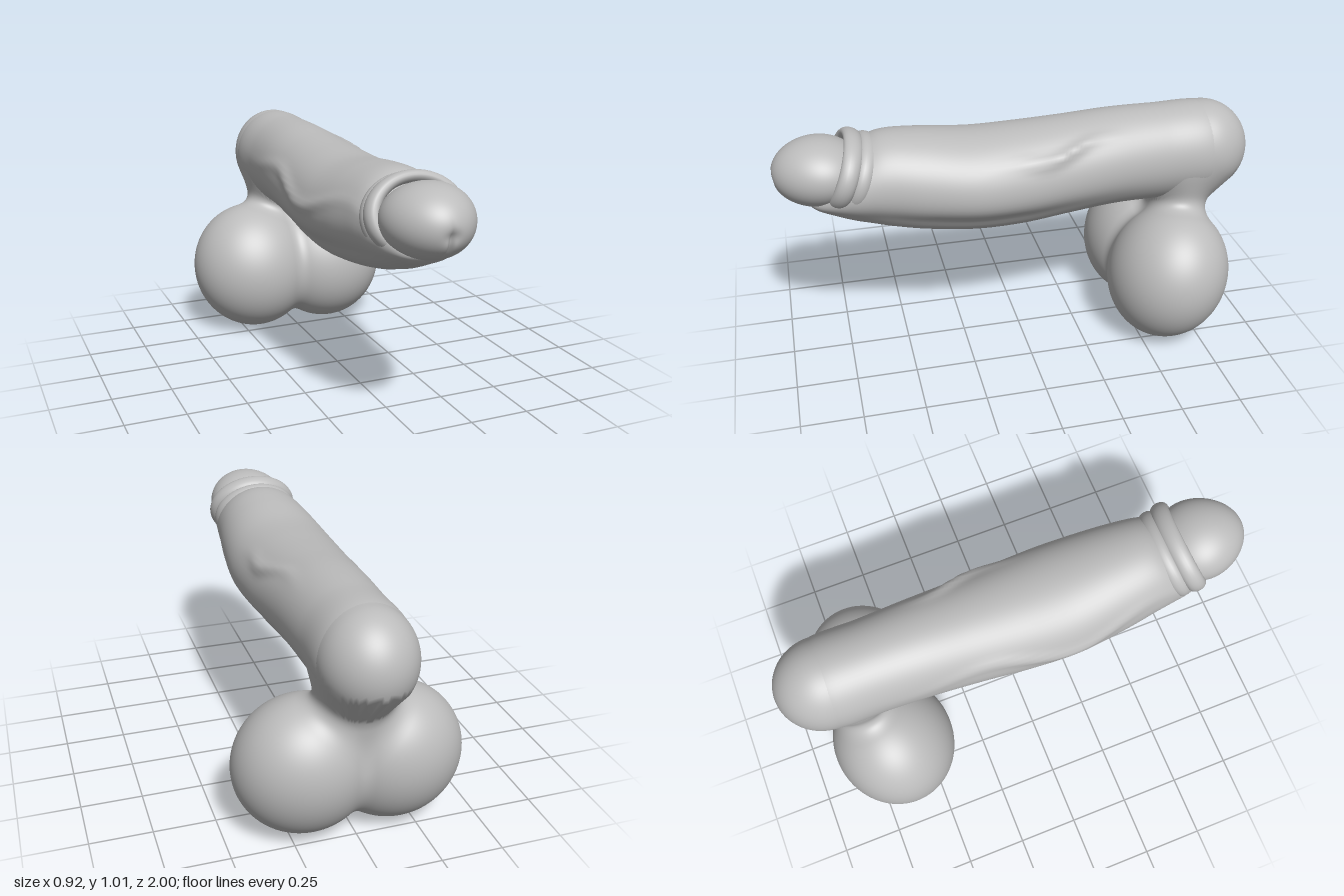
import * as THREE from 'three';
import { mergeVertices } from 'three/addons/utils/BufferGeometryUtils.js';

const grey = new THREE.MeshStandardMaterial({ color: 0xbcbcbc });
grey.name = 'light grey';

const gauss = (d, w) => Math.exp(-((d / w) ** 2));

// Moves every vertex by a rule and gives the result seamless smooth normals
function sculpt(geometry, rule) {
  geometry.deleteAttribute('uv');
  geometry.deleteAttribute('normal');
  const g = mergeVertices(geometry, 1e-5);
  const p = g.attributes.position;
  const v = new THREE.Vector3();
  for (let i = 0; i < p.count; i++) {
    rule(v.fromBufferAttribute(p, i));
    p.setXYZ(i, v.x, v.y, v.z);
  }
  g.computeVertexNormals();
  return g;
}

function add(group, name, geometry) {
  const mesh = new THREE.Mesh(geometry, grey);
  mesh.name = name;
  group.add(mesh);
  return mesh;
}

// Shaft sections: z, top, bottom, half width (the rear end is hidden in the base)
const SECTIONS = [
  [-0.92, 0.93, 0.66, 0.12], [-0.8, 0.997, 0.592, 0.185], [-0.6, 1.0, 0.588, 0.19],
  [-0.4, 0.998, 0.588, 0.2], [-0.2, 0.985, 0.57, 0.213], [0, 0.975, 0.55, 0.23],
  [0.2, 0.972, 0.55, 0.238], [0.4, 0.993, 0.572, 0.222], [0.54, 1.0, 0.6, 0.203],
  [0.62, 0.98, 0.624, 0.192], [0.7, 0.935, 0.65, 0.178], [0.78, 0.86, 0.685, 0.15],
  [0.84, 0.8, 0.712, 0.105], [0.88, 0.76, 0.74, 0.03],
];

// Raised veins as angle around the shaft against z
function veinHeight(theta, z) {
  const left = 0.68 - 0.5 * (z + 0.15) + 0.08 * Math.sin(z * 16);
  const right = Math.PI - 0.27 + 0.14 * Math.sin(z * 9);
  return 0.018 * gauss(theta - left, 0.12) * gauss(z + 0.15, 0.17)
    + 0.015 * gauss(theta - right, 0.12) * gauss(z - 0.08, 0.4);
}

function shaftGeometry() {
  const spline = (f) => new THREE.CatmullRomCurve3(SECTIONS.map(f), false, 'catmullrom', 0.5);
  const size = spline((s) => new THREE.Vector3(s[3], s[1], s[2]));
  const along = spline((s) => new THREE.Vector3(0, 0, s[0]));
  const rows = 160, sides = 72, pos = [], index = [];
  for (let i = 0; i <= rows; i++) {
    const { x: w, y: top, z: bottom } = size.getPoint(i / rows);
    const z = along.getPoint(i / rows).z;
    const cy = (top + bottom) / 2, h = (top - bottom) / 2;
    const body = gauss(z - 0.2, 0.5);
    for (let j = 0; j < sides; j++) {
      const t = (j / sides) * Math.PI * 2;
      // Shallow grooves either side of the ridge underneath
      const fromBottom = Math.abs(t - Math.PI * 1.5);
      const k = 1 - 0.08 * body * gauss(fromBottom - 0.95, 0.27);
      const v = veinHeight(t, z);
      pos.push(Math.cos(t) * (w * k + v), cy + Math.sin(t) * (h * k + v), z);
      if (i < rows) {
        const n = (j + 1) % sides;
        const a = i * sides + j, b = i * sides + n;
        index.push(a, b, a + sides, b, b + sides, a + sides);
      }
    }
  }
  const g = new THREE.BufferGeometry();
  g.setAttribute('position', new THREE.Float32BufferAttribute(pos, 3));
  g.setIndex(index);
  g.computeVertexNormals();
  return g;
}

// Smoothly joined ellipsoids for the two lobes, the neck and the rear bend
const ellipsoid = (x, y, z, r) =>
  (Math.hypot(x / r[0], y / r[1], z / r[2]) - 1) * Math.min(...r);
function smoothMin(a, b, k) {
  const h = Math.max(k - Math.abs(a - b), 0) / k;
  return Math.min(a, b) - h * h * k / 4;
}
function baseField({ x, y, z }) {
  const lean = 0.08 * (y - 0.292);
  const lobe = (s) => ellipsoid(x - s * 0.178, y - 0.292, z + 0.627 + lean, [0.282, 0.29, 0.256]);
  const lobes = smoothMin(lobe(1), lobe(-1), 0.04);
  const neck = ellipsoid(x, y - 0.6, z + 0.71, [0.158, 0.25, 0.13]);
  const stretch = THREE.MathUtils.clamp(z, -0.8, -0.68);
  const bend = ellipsoid(x, y - 0.795, z - stretch, [0.186, 0.205, 0.2]);
  return smoothMin(lobes, smoothMin(neck, bend, 0.07), 0.06);
}

function baseGeometry() {
  const centre = new THREE.Vector3(0, 0.38, -0.66);
  const p = new THREE.Vector3();
  return sculpt(new THREE.IcosahedronGeometry(1, 48), (v) => {
    const dir = v.clone().normalize();
    const at = (d) => baseField(p.copy(centre).addScaledVector(dir, d));
    let far = 0.02;
    while (at(far) < 0 && far < 1) far += 0.02;
    let near = far - 0.02;
    for (let i = 0; i < 12; i++) {
      const mid = (near + far) / 2;
      if (at(mid) < 0) near = mid; else far = mid;
    }
    v.copy(centre).addScaledVector(dir, far);
  });
}

// Rounded tip, wider to the rear, with a small dimple and a cleft underneath
function tipGeometry() {
  return sculpt(new THREE.SphereGeometry(1, 96, 64).rotateX(Math.PI / 2), (v) => {
    const front = v.z > 0 ? 1 : 0;
    v.set(v.x * (0.172 - 0.02 * v.z), 0.864 + v.y * 0.137, 0.82 + v.z * 0.18);
    const dimple = gauss(v.x, 0.03) * gauss(v.y - 0.845, 0.025);
    const cleft = gauss(v.x, 0.01) * gauss(v.y - 0.805, 0.05);
    v.z -= front * (0.012 * dimple + 0.016 * cleft);
  });
}

export function createModel() {
  const model = new THREE.Group();
  model.name = 'model';
  add(model, 'shaft', shaftGeometry());
  add(model, 'base', baseGeometry());
  add(model, 'tip', tipGeometry());

  // Tilted collar and the softer fold behind it
  const rings = [
    ['collar', 0.172, 0.03, 0.86, 0.72, 0.8],
    ['fold', 0.166, 0.026, 0.838, 0.665, 0.86],
  ];
  for (const [name, radius, tube, y, z, squash] of rings) {
    const ring = add(model, name, new THREE.TorusGeometry(radius, tube, 20, 80).scale(1, squash, 1.3));
    ring.position.set(0, y, z);
    ring.rotation.x = -0.38;
  }
  return model;
}
